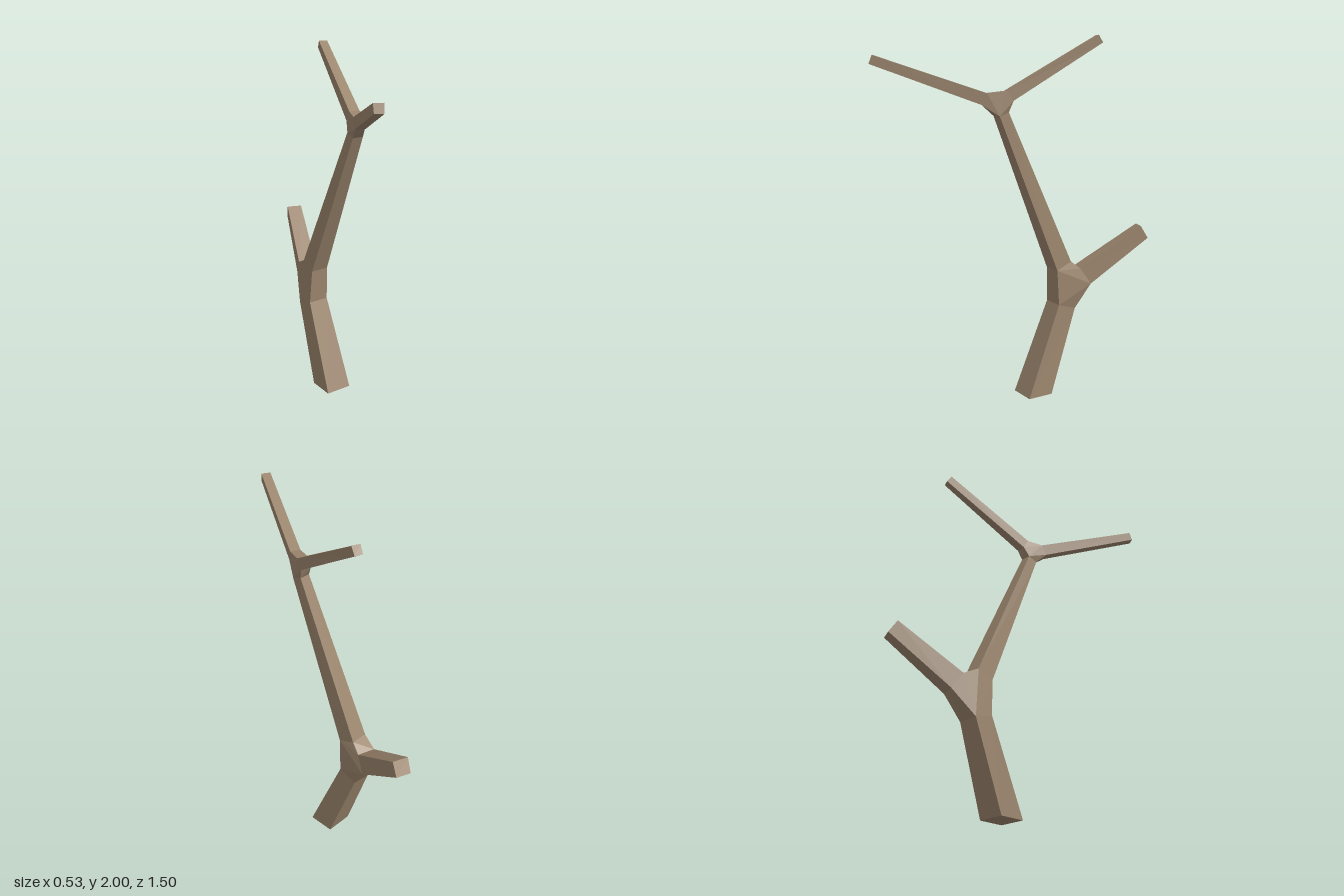
import * as THREE from 'three';
import { ConvexGeometry } from 'three/addons/geometries/ConvexGeometry.js';

const bark = new THREE.MeshStandardMaterial({ color: 0x9b856d, flatShading: true });

// Four-cornered cross-sections, counter-clockwise as seen from the limb's tip
const ring = (...corners) => corners.map((c) => new THREE.Vector3(...c));

const trunkFoot = ring([-0.015, 0, 0.005], [0.14, 0, 0.005], [0.14, 0, -0.145], [-0.015, 0, -0.145]);
const trunkTop = ring([0, 0.51, -0.205], [0.12, 0.51, -0.205], [0.12, 0.475, -0.315], [0, 0.475, -0.315]);
const stemFoot = ring([0.01, 0.71, -0.195], [0.115, 0.71, -0.195], [0.112, 0.75, -0.29], [0.015, 0.75, -0.29]);
const stemTop = ring([0.03, 1.58, 0.165], [0.095, 1.58, 0.165], [0.095, 1.6, 0.11], [0.035, 1.6, 0.11]);
const lowFoot = ring([0.155, 0.615, -0.4], [0.06, 0.615, -0.435], [0.035, 0.705, -0.375], [0.13, 0.705, -0.345]);
const lowTip = ring([0.265, 0.865, -0.72], [0.19, 0.865, -0.75], [0.17, 0.935, -0.71], [0.25, 0.935, -0.68]);
const frontFoot = ring([0, 1.64, 0.22], [0.045, 1.64, 0.245], [0.06, 1.7, 0.22], [0.01, 1.7, 0.195]);
const frontTip = ring([-0.27, 1.85, 0.725], [-0.23, 1.85, 0.75], [-0.22, 1.895, 0.735], [-0.265, 1.895, 0.71]);
const backFoot = ring([0.11, 1.66, 0.09], [0.05, 1.655, 0.08], [0.045, 1.71, 0.11], [0.1, 1.71, 0.125]);
const backTip = ring([0.24, 1.96, -0.39], [0.2, 1.96, -0.405], [0.19, 2, -0.38], [0.235, 2, -0.365]);

function addMesh(group, name, geometry) {
  const mesh = new THREE.Mesh(geometry, bark);
  mesh.name = name;
  group.add(mesh);
}

// Tapered limb between two sections, with optional end caps
function limb(a, b, capStart, capEnd) {
  const points = [];
  for (let i = 0; i < 4; i++) {
    const j = (i + 1) % 4;
    points.push(a[i], a[j], b[j], a[i], b[j], b[i]);
  }
  if (capStart) points.push(a[0], a[2], a[1], a[0], a[3], a[2]);
  if (capEnd) points.push(b[0], b[1], b[2], b[0], b[2], b[3]);
  const geometry = new THREE.BufferGeometry().setFromPoints(points);
  geometry.computeVertexNormals();
  return geometry;
}

// Faceted fork: hull around the sections, left open where the limbs join
function fork(...rings) {
  const position = new ConvexGeometry(rings.flat()).getAttribute('position');
  const points = [];
  for (let i = 0; i < position.count; i += 3) {
    const tri = [0, 1, 2].map((k) => new THREE.Vector3().fromBufferAttribute(position, i + k));
    const onOpening = rings.some((r) => tri.every((p) => r.some((q) => q.distanceTo(p) < 1e-4)));
    if (!onOpening) points.push(...tri);
  }
  const geometry = new THREE.BufferGeometry().setFromPoints(points);
  geometry.computeVertexNormals();
  return geometry;
}

export function createModel() {
  const tree = new THREE.Group();
  tree.name = 'bareTree';
  addMesh(tree, 'trunk', limb(trunkFoot, trunkTop, true, false));
  addMesh(tree, 'lowerFork', fork(trunkTop, stemFoot, lowFoot));
  addMesh(tree, 'lowBranch', limb(lowFoot, lowTip, false, true));
  addMesh(tree, 'upperStem', limb(stemFoot, stemTop, false, false));
  addMesh(tree, 'upperFork', fork(stemTop, frontFoot, backFoot));
  addMesh(tree, 'frontBranch', limb(frontFoot, frontTip, false, true));
  addMesh(tree, 'backBranch', limb(backFoot, backTip, false, true));
  return tree;
}
